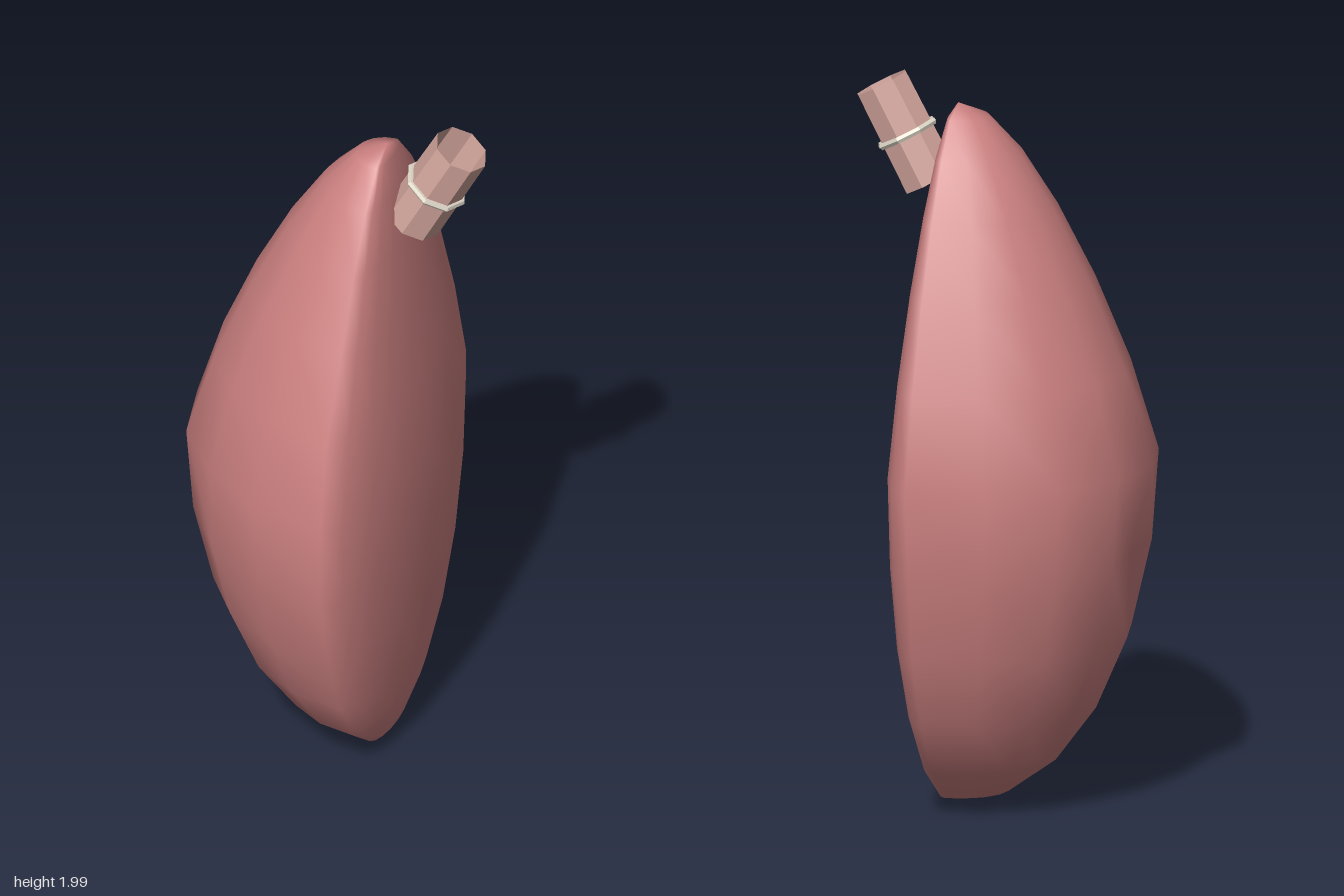
import * as THREE from 'three';
import { mergeVertices } from 'three/addons/utils/BufferGeometryUtils.js';

const flesh = new THREE.MeshStandardMaterial({ color: 0xcc8080 });
flesh.name = 'rose body';
const tube = new THREE.MeshStandardMaterial({ color: 0xd2a59c, flatShading: true, side: THREE.DoubleSide });
tube.name = 'pale pink tube';
const band = new THREE.MeshStandardMaterial({ color: 0xdcd5c5, flatShading: true });
band.name = 'cream band';

// Pouch: a sphere tapered to the top, deep on one side and shallow on the other
function bodyGeometry() {
  const sides = 16, rings = 12;
  // slight dents and bulges: ring, side, factor
  const bumps = [[7, 0, 0.91], [7, 4, 1.035], [5, 4, 1.05], [7, 12, 0.98], [6, 2, 0.975]];
  const g = new THREE.SphereGeometry(1, sides, rings);
  const p = g.attributes.position;
  for (let k = 0; k < p.count; k++) {
    const ring = Math.floor(k / (sides + 1)), side = (k % (sides + 1)) % sides;
    const y = p.getY(k);
    let s = 1 - 0.42 * Math.max(0, y);
    for (const [r, c, f] of bumps) if (r === ring && c === side) s *= f;
    const x = p.getX(k) * s;
    p.setXYZ(k, 0.13 + x * (x < 0 ? 0.545 : 0.13), 0.965 + 0.96 * y, p.getZ(k) * s * 0.478);
  }
  g.deleteAttribute('uv');
  g.deleteAttribute('normal');
  const merged = mergeVertices(g, 1e-4);
  merged.computeVertexNormals();
  return merged;
}

export function createModel() {
  const model = new THREE.Group();
  model.name = 'pouchWithDuct';

  const body = new THREE.Mesh(bodyGeometry(), flesh);
  body.name = 'body';
  model.add(body);

  // Open duct with its band, leaning away from the top
  const duct = new THREE.Group();
  duct.name = 'duct';
  duct.position.set(0.275, 1.833, 0);
  duct.rotation.z = -0.49;
  const pipe = new THREE.Mesh(new THREE.CylinderGeometry(0.077, 0.08, 0.295, 8, 1, true), tube);
  pipe.name = 'ductTube';
  const ring = new THREE.Mesh(new THREE.TorusGeometry(0.081, 0.01, 6, 8), band);
  ring.name = 'ductBand';
  ring.rotation.x = Math.PI / 2;
  ring.position.y = -0.005;
  duct.add(pipe, ring);
  model.add(duct);

  return model;
}
